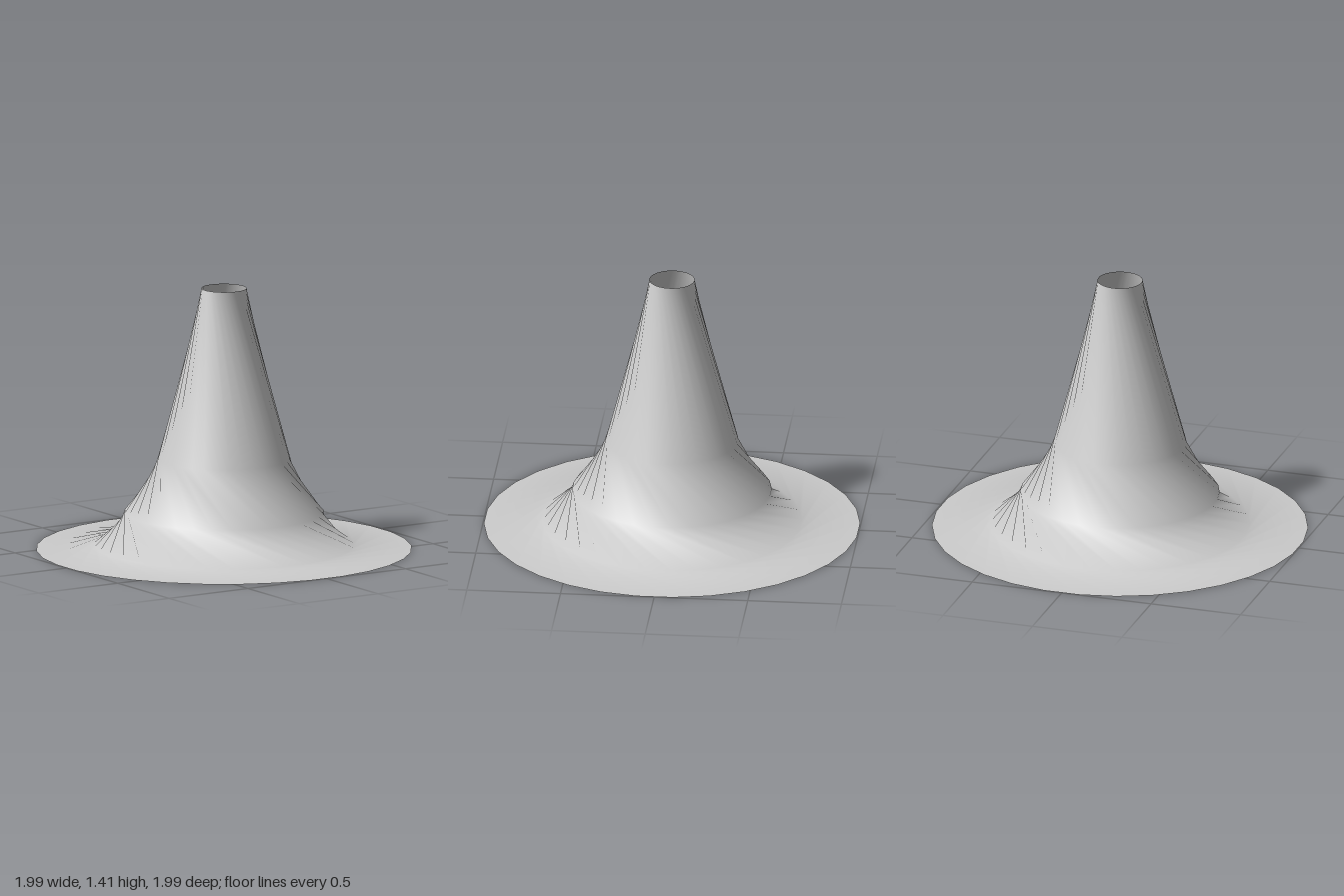
import * as THREE from 'three';

// Twisted skin: every ring is turned by some segments against the one below it.
function twistedSkin(rings, sides, twist) {
  const pos = [], index = [];
  rings.forEach(([radius, y], i) => {
    for (let j = 0; j < sides; j++) {
      const a = (j + 0.5 + i * twist) * Math.PI * 2 / sides;
      pos.push(radius * Math.cos(a), y, radius * Math.sin(a));
    }
  });
  for (let i = 0; i < rings.length - 1; i++) {
    for (let j = 0; j < sides; j++) {
      const k = (j + 1) % sides;
      const a = i * sides + j, b = i * sides + k;
      const c = a + sides, d = b + sides;
      index.push(a, d, b, a, c, d);
    }
  }
  const geo = new THREE.BufferGeometry();
  geo.setAttribute('position', new THREE.Float32BufferAttribute(pos, 3));
  geo.setIndex(index);
  geo.computeVertexNormals();
  return geo;
}

export function createModel() {
  const group = new THREE.Group();
  group.name = 'flaredCone';
  const material = new THREE.MeshStandardMaterial({ color: 0xcccccc, side: THREE.DoubleSide });

  // [radius, height]: flat brim, flaring skirt, tall neck open at the top
  const rings = [[1, 0], [0.69, 0.02], [0.53, 0.2], [0.352, 0.49], [0.12, 1.41]];
  const shell = new THREE.Mesh(twistedSkin(rings, 32, 3), material);
  shell.name = 'brimAndCone';
  group.add(shell);
  return group;
}
